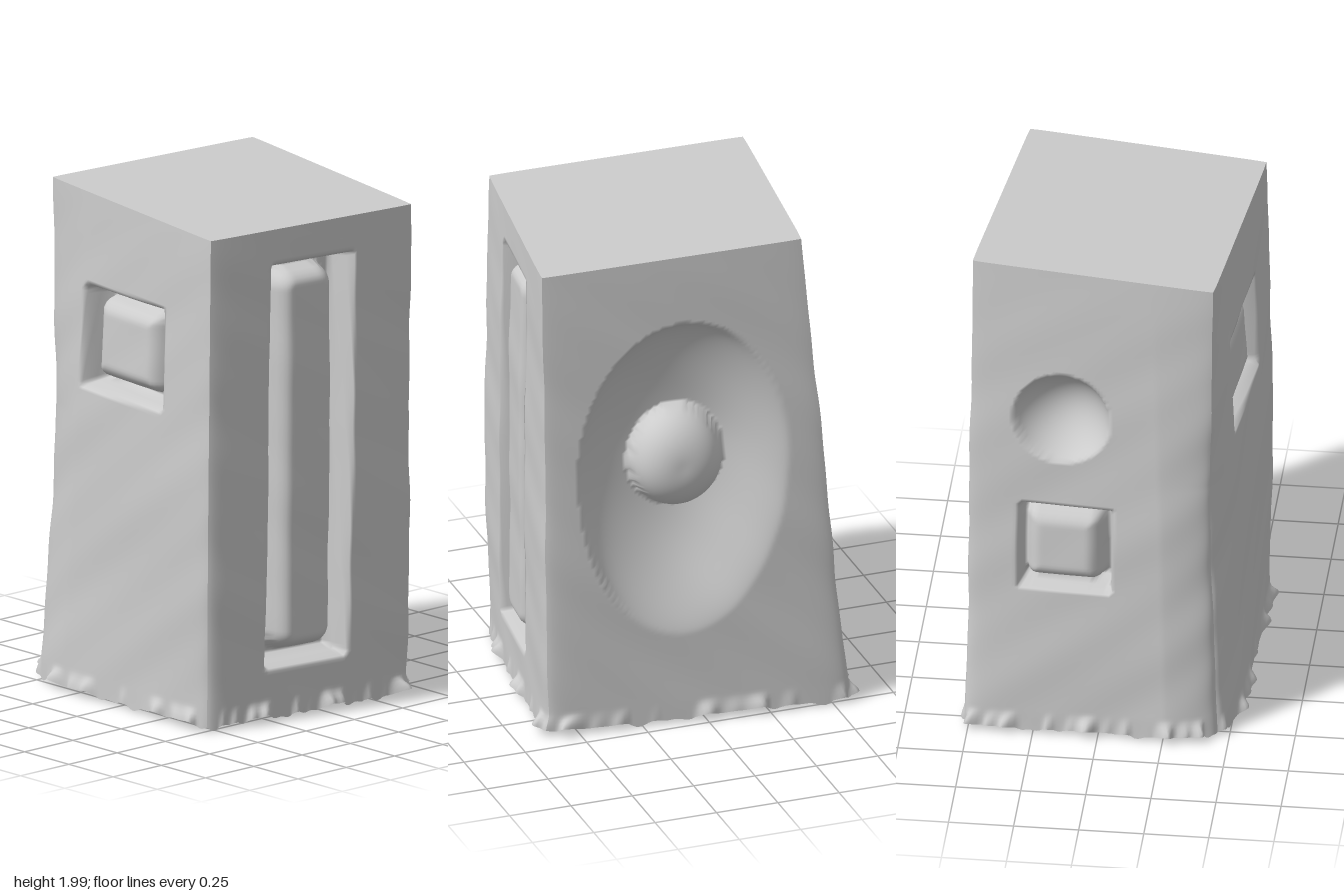
import * as THREE from 'three';

const material = new THREE.MeshStandardMaterial({ color: 0xcccccc, roughness: 1, side: THREE.DoubleSide });
const { clamp, lerp, smoothstep } = THREE.MathUtils;

// Corners in order front-left, front-right, back-right, back-left (as seen from +z)
const TOP = [[-0.53, 1.95, 0.517], [0.395, 1.955, 0.645], [0.505, 2.0, -0.375], [-0.435, 1.99, -0.485]];
const BASE = [[-0.555, 0.04, 0.52], [0.41, 0.04, 0.64], [0.525, 0.04, -0.58], [-0.52, 0.04, -0.6]];
const COLS = 80, ROWS = 160;
// Walls in the same order; the model's own left is +x
const WALLS = ['front', 'left', 'back', 'right'];

// Signed distance to a rectangle with rounded corners, negative inside
function rect(a, b, ca, cb, ha, hb, r = 0) {
  const x = Math.abs(a - ca) - ha + r, y = Math.abs(b - cb) - hb + r;
  return Math.hypot(Math.max(x, 0), Math.max(y, 0)) + Math.min(Math.max(x, y), 0) - r;
}
const inside = (d, soft = 0.014) => 1 - smoothstep(d, -soft, soft);
// Pillow height from 0 at the outline to 1 at distance r inside it
const pillow = (d, r) => Math.sqrt(1 - (1 - clamp(-d / r, 0, 1)) ** 2);

// Carving depth of each wall, by horizontal world coordinate and height
const carve = {
  // Long slot holding a rounded bar
  front(x, y) {
    const lean = 0.018 * (y - 1);
    const slot = inside(rect(x, y, -0.078 + lean, 1.015, 0.178, 0.785));
    const bar = pillow(rect(x, y, -0.08 + lean * 0.3, 1.02, 0.135, 0.755, 0.08), 0.06);
    return 0.13 * slot - 0.122 * bar;
  },
  // Wide oval dish with a round boss, crisp toward the upper front and fading toward the lower back
  left(z, y) {
    const a = (z - 0.085) / 0.41, b = (y - 1.1) / (y > 1.1 ? 0.59 : 0.72);
    const fade = lerp(1.4, 0.6, smoothstep(0.8 * a + 0.6 * b, -0.9, 0.6));
    const dish = 0.18 * Math.pow(Math.max(0, 1 - a * a - b * b), fade);
    const boss = Math.hypot((z - 0.09) / 0.18, (y - 1.08) / 0.205);
    return dish - 0.178 * pillow((boss - 1) * 0.18, 0.16);
  },
  // Round hollow above a square niche with a cushion
  back(x, y) {
    const r = Math.hypot(x - 0.15, y - 1.365) / 0.185;
    const hollow = 0.13 * Math.pow(Math.max(0, 1 - r * r), 0.8);
    const niche = inside(rect(x, y, 0.135, 0.81, 0.17, 0.17));
    const cushion = pillow(rect(x, y, 0.145, 0.805, 0.155, 0.155, 0.05), 0.07);
    return hollow + 0.12 * niche - 0.105 * cushion;
  },
  // Square niche with a cushion
  right(z, y) {
    const niche = inside(rect(z, y, -0.01, 1.42, 0.23, 0.185), 0.02);
    const cushion = pillow(rect(z, y, -0.02, 1.42, 0.195, 0.165, 0.05), 0.07);
    return 0.13 * niche - 0.11 * cushion;
  },
};

// Gentle weathering
const wave = (x, y, z) =>
  Math.sin(7 * x + 5 * y + 3 * z) * 0.5 + Math.sin(13 * y - 6 * z + 4 * x) * 0.3 + Math.sin(23 * y + 17 * (x - z)) * 0.2;
// Uneven breaks along the lower rim
const ragged = (x, z) =>
  Math.sin(17 * x + 11 * z + 1) * 0.4 + Math.sin(43 * x - 31 * z) * 0.35 + Math.sin(83 * x + 67 * z) * 0.25;

// Point on a wall: u runs along it, v runs up
function wallPoint(side, u, v) {
  const next = (side + 1) % 4;
  const p = [0, 1, 2].map((k) => lerp(lerp(BASE[side][k], BASE[next][k], u), lerp(TOP[side][k], TOP[next][k], u), v));
  const [x, y, z] = p;
  const dx = TOP[next][0] - TOP[side][0], dz = TOP[next][2] - TOP[side][2];
  const depth = carve[WALLS[side]](side % 2 ? z : x, y) / Math.hypot(dx, dz);

  // Broad bevel down the back corner at -x; the other vertical corners are worn round
  const toBackCorner = side === 2 ? 1 - u : side === 3 ? u : 1;
  const bevel = 0.1 * Math.max(0, 1 - toBackCorner / 0.25) ** 1.2 * Math.min(1, 2.2 * (1 - v));
  const worn = 0.035 * Math.exp(-Math.min(u, 1 - u) / 0.04) * (1 - 0.85 * v);
  // Swelling toward the front corner at -x
  const toFrontCorner = side === 0 ? u : side === 3 ? 1 - u : 1;
  const swell = 0.03 * Math.sin(Math.PI * v) * (1 - toFrontCorner);
  // Ragged, flared lower rim
  const rim = 1 - smoothstep(v, 0, 0.03);
  const rag = ragged(x, z);
  const flare = rim * Math.max(0, 0.01 + 0.07 * rag);
  const grow = 1 - worn - bevel + swell + flare + 0.009 * wave(x, y, z) * (1 - v ** 8);
  return [(x + dz * depth) * grow, y + 0.022 * rim * rag - 0.01 * rim, (z - dx * depth) * grow];
}

function makeMesh(name, positions, index) {
  const geometry = new THREE.BufferGeometry();
  geometry.setAttribute('position', new THREE.Float32BufferAttribute(positions, 3));
  geometry.setIndex(index);
  geometry.computeVertexNormals();
  const mesh = new THREE.Mesh(geometry, material);
  mesh.name = name;
  return mesh;
}

function makeWall(side) {
  const positions = [], index = [];
  for (let j = 0; j <= ROWS; j++)
    for (let i = 0; i <= COLS; i++) positions.push(...wallPoint(side, i / COLS, j / ROWS));
  for (let j = 0; j < ROWS; j++)
    for (let i = 0; i < COLS; i++) {
      const a = j * (COLS + 1) + i, c = a + COLS + 1;
      index.push(a, a + 1, c + 1, a, c + 1, c);
    }
  return makeMesh(WALLS[side] + 'Wall', positions, index);
}

// Flat sloping top, fanned out to the upper edges of the walls
function makeTop() {
  const positions = [0, 1, 2].map((k) => TOP.reduce((sum, c) => sum + c[k] / 4, 0));
  const index = [], n = 4 * COLS;
  for (let i = 0; i < n; i++) {
    positions.push(...wallPoint(Math.floor(i / COLS), (i % COLS) / COLS, 1));
    index.push(0, i + 1, ((i + 1) % n) + 1);
  }
  return makeMesh('topFace', positions, index);
}

export function createModel() {
  const group = new THREE.Group();
  group.name = 'carvedStoneBlock';
  WALLS.forEach((_, side) => group.add(makeWall(side)));
  group.add(makeTop());
  return group;
}
